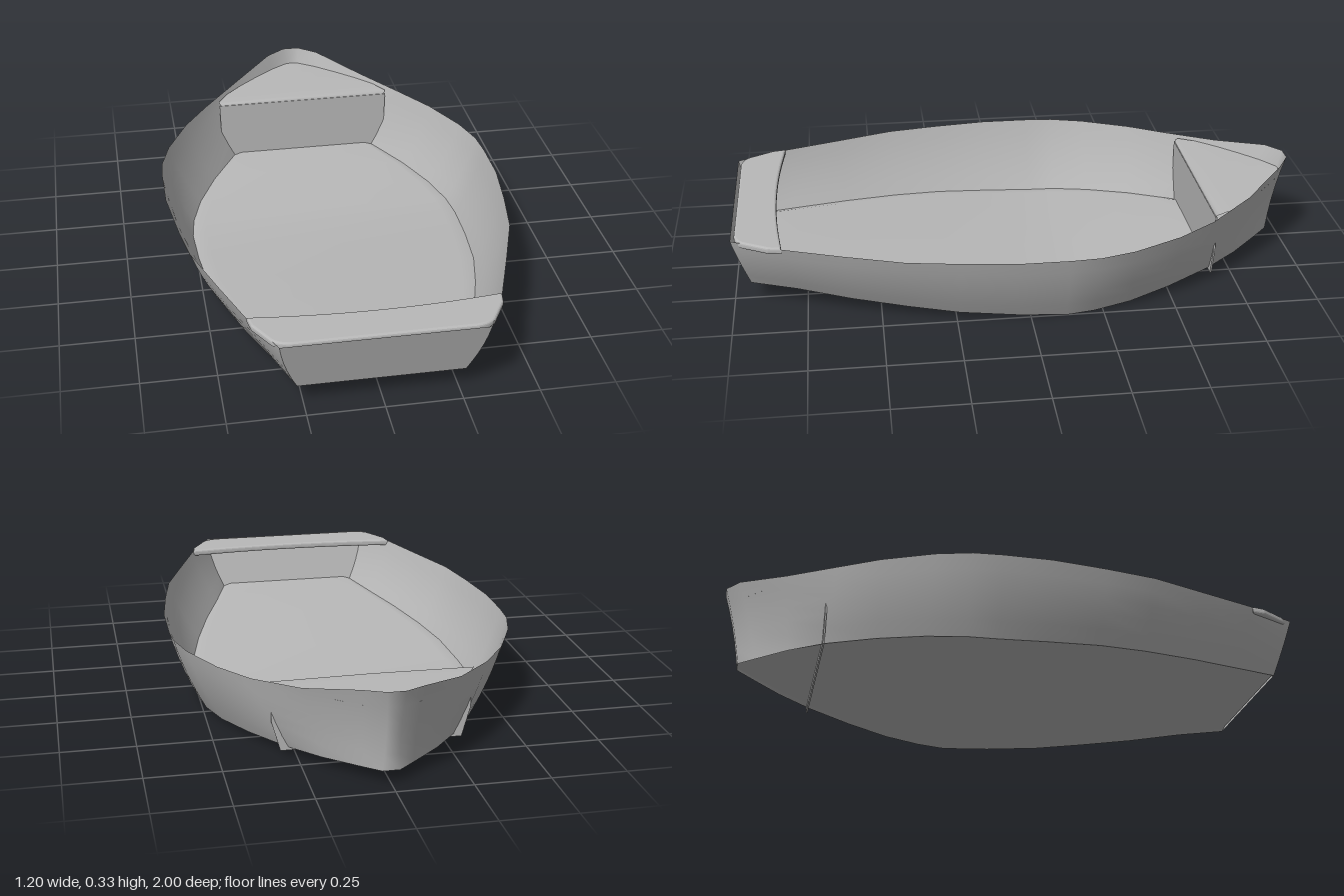
import * as THREE from 'three';

// Half-hull stations from stern to bow: rim x, y, z then chine x, y, z
const STATIONS = [
  [0.33, 0.262, 0.995, 0.27, 0.07, 0.94],
  [0.41, 0.262, 0.82, 0.32, 0.062, 0.78],
  [0.48, 0.26, 0.62, 0.385, 0.048, 0.6],
  [0.547, 0.26, 0.42, 0.44, 0.035, 0.41],
  [0.577, 0.26, 0.24, 0.478, 0.022, 0.24],
  [0.6, 0.26, 0.05, 0.495, 0.009, 0.05],
  [0.6, 0.26, -0.12, 0.5, 0, -0.12],
  [0.593, 0.26, -0.22, 0.488, 0.004, -0.22],
  [0.56, 0.26, -0.34, 0.45, 0.01, -0.35],
  [0.48, 0.262, -0.51, 0.38, 0.02, -0.5],
  [0.39, 0.266, -0.645, 0.285, 0.03, -0.66],
  [0.255, 0.285, -0.805, 0.19, 0.036, -0.78],
  [0.1, 0.325, -0.955, 0.085, 0.041, -0.885],
  [0.03, 0.33, -1.0, 0.028, 0.044, -0.94],
];
const ROWS = 5;

// Grid surface from equal-length rows of points
function loft(rows, material, name) {
  const n = rows[0].length, index = [];
  for (let i = 0; i < rows.length - 1; i++) {
    for (let j = 0; j < n - 1; j++) {
      const a = i * n + j, b = a + n;
      index.push(a, b, a + 1, b, b + 1, a + 1);
    }
  }
  const geo = new THREE.BufferGeometry();
  geo.setAttribute('position', new THREE.Float32BufferAttribute(rows.flat(2), 3));
  geo.setIndex(index);
  geo.computeVertexNormals();
  const mesh = new THREE.Mesh(geo, material);
  mesh.name = name;
  return mesh;
}

// Points up one rib, bulging outward a little between chine and rim
function rib([rx, ry, rz, cx, cy, cz], side) {
  return Array.from({ length: ROWS + 1 }, (_, k) => {
    const t = k / ROWS, bulge = 4 * t * (1 - t);
    const flare = rz < -0.75 ? -0.006 : 0.009;
    return [
      side * (cx + (rx - cx) * t + flare * bulge),
      cy + (ry - cy) * t,
      cz + (rz - cz) * t + (rz < -0.9 ? 0.006 * bulge : 0),
    ];
  });
}

const mirrorRow = ([x, y, z]) => [-x, y, z];

export function createModel() {
  const boat = new THREE.Group();
  boat.name = 'rowboat';
  const hullGrey = new THREE.MeshStandardMaterial({ color: 0xb8b8b8 });
  hullGrey.name = 'hull grey';
  hullGrey.side = THREE.DoubleSide;

  // Planked sides, running round the bow
  const left = STATIONS.map((s) => rib(s, 1));
  const right = STATIONS.map((s) => rib(s, -1));
  boat.add(loft([...left, ...right.slice().reverse()], hullGrey, 'hullSides'));

  // Flat transom closing the stern
  boat.add(loft([right[0], left[0]], hullGrey, 'transom'));

  // Floor, slightly raised along the middle
  const floorRows = STATIONS.map(([, , , x, y, z]) =>
    [-1, -0.9, 0, 0.9, 1].map((u) => [u * x, y + (Math.abs(u) < 1 ? 0.009 : 0), z]));
  boat.add(loft(floorRows.reverse(), hullGrey, 'floor'));

  // Bow deck with a softly rolled rear edge
  const deckHalf = [
    [0.33, 0.25, -0.668], [0.332, 0.26, -0.67], [0.335, 0.264, -0.68],
    [0.3, 0.265, -0.74], [0.235, 0.266, -0.81], [0.16, 0.267, -0.88],
    [0.09, 0.268, -0.94], [0.025, 0.27, -0.98],
  ];
  const deckRows = deckHalf.map((p) => [mirrorRow(p), [0, p[1] + 0.003, p[2]], p]);
  boat.add(loft(deckRows.reverse(), hullGrey, 'bowDeck'));

  // Bulkhead under the deck
  const wall = new THREE.Shape([
    [-0.302, 0.02], [0.302, 0.02], [0.33, 0.12], [0.334, 0.253], [-0.334, 0.253], [-0.33, 0.12],
  ].map(([x, y]) => new THREE.Vector2(x, y)));
  const bulkhead = new THREE.Mesh(
    new THREE.ExtrudeGeometry(wall, { depth: 0.006, bevelEnabled: false }), hullGrey);
  bulkhead.name = 'bulkhead';
  bulkhead.position.z = -0.672;
  boat.add(bulkhead);

  // Stern bench: curved plank with rounded edges
  const plank = new THREE.Shape();
  plank.moveTo(-0.4, 0.83);
  plank.quadraticCurveTo(0, 0.88, 0.4, 0.83);
  plank.lineTo(0.393, 0.865);
  plank.lineTo(0.345, 0.95);
  plank.quadraticCurveTo(0.33, 0.972, 0.29, 0.976);
  plank.lineTo(-0.29, 0.976);
  plank.quadraticCurveTo(-0.33, 0.972, -0.345, 0.95);
  plank.lineTo(-0.393, 0.865);
  plank.closePath();
  const benchGeo = new THREE.ExtrudeGeometry(plank, {
    depth: 0.008, bevelThickness: 0.008, bevelSize: 0.008, bevelSegments: 3, curveSegments: 16,
  });
  benchGeo.rotateX(Math.PI / 2);
  const bench = new THREE.Mesh(benchGeo, hullGrey);
  bench.name = 'sternBench';
  bench.position.y = 0.258;
  boat.add(bench);

  return boat;
}
